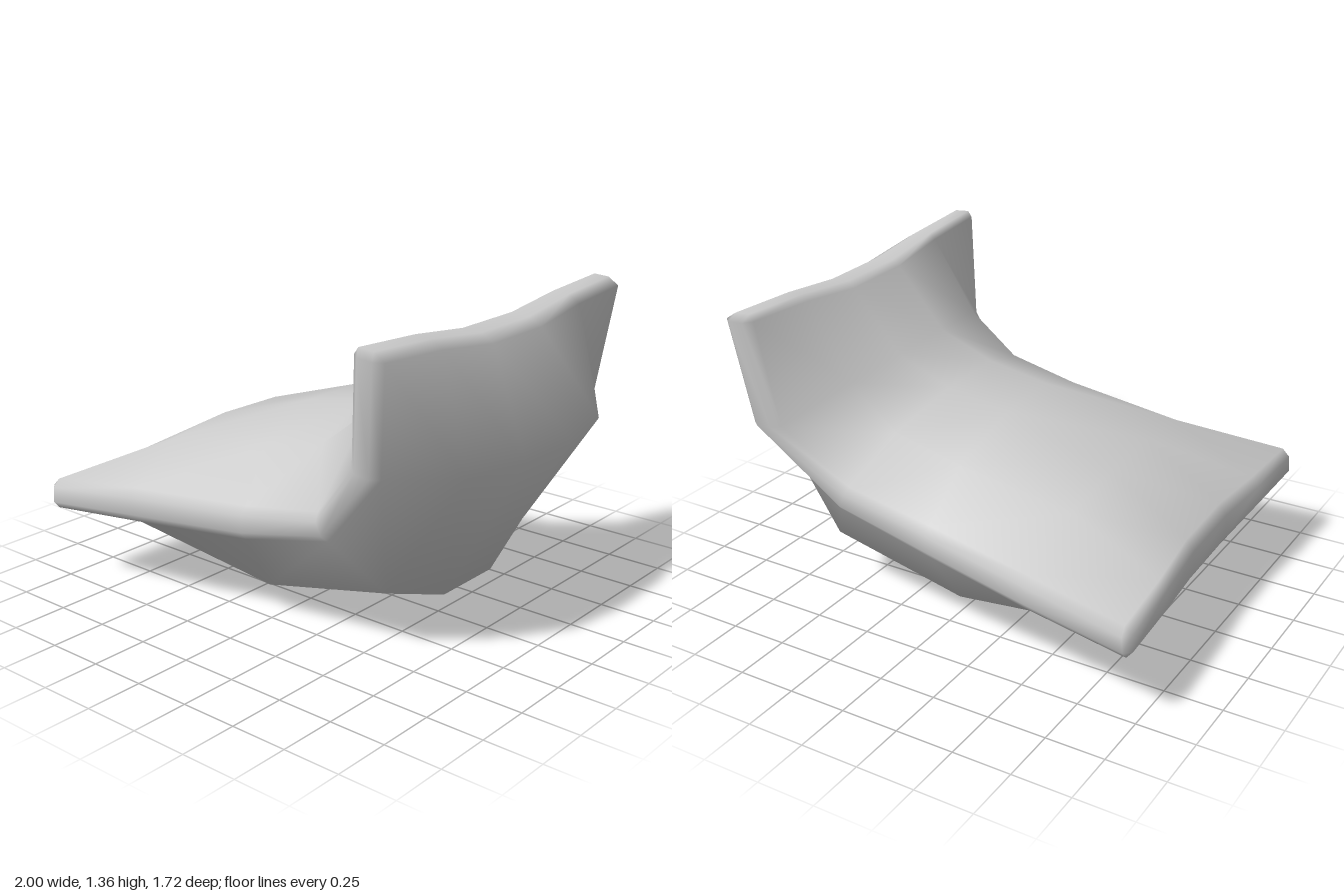
import * as THREE from 'three';

// Each shell has six stations along the bent cushion: rim and middle as [x, y],
// and how far the shoulder columns rise from rim to middle
const upperShell = {
  rim: [[-0.95, 0.47], [-0.53, 0.515], [0, 0.54], [0.38, 0.61], [0.63, 0.87], [0.685, 1.325]],
  middle: [[-0.91, 0.49], [-0.57, 0.705], [-0.08, 0.86], [0.2, 0.91], [0.45, 1.01], [0.67, 1.27]],
  shoulder: [0.4, 0.8, 0.63, 0.68, 0.85, 0.35],
};
const lowerShell = {
  rim: [[-0.96, 0.335], [-0.5, 0.37], [0, 0.395], [0.43, 0.5], [0.765, 0.86], [0.82, 1.315]],
  middle: [[-0.92, 0.295], [-0.55, 0.11], [-0.05, 0], [0.64, 0.17], [1, 0.82], [0.84, 1.26]],
  shoulder: [0.35, 0.73, 0.68, 0.71, 0.77, 0.35],
};
const halfWidth = [0.845, 0.788, 0.685, 0.685, 0.79, 0.845];
const N = 6;
const BEVEL = 0.03;

// Point on a shell: i runs along the stations, j across the width
function shellPoint({ rim, middle, shoulder }, i, j) {
  const k = Math.min(j, N - 1 - j);
  const side = j < N / 2 ? -1 : 1;
  const z = side * [halfWidth[i] - BEVEL, 0.48, 0.17][k];
  const w = [0, shoulder[i], 1][k];
  const x = THREE.MathUtils.lerp(rim[i][0], middle[i][0], w);
  const y = THREE.MathUtils.lerp(rim[i][1], middle[i][1], w);
  // Slight twist along the length
  return new THREE.Vector3(x, y + z * 0.016 * (1 - 0.7 * x), z);
}

function cushionGeometry() {
  const points = [];
  const index = [];
  const quad = (a, b, c, d) => index.push(a, b, c, a, c, d);

  // Upper and lower shells
  for (const shell of [upperShell, lowerShell]) {
    for (let i = 0; i < N; i++) {
      for (let j = 0; j < N; j++) points.push(shellPoint(shell, i, j));
    }
  }
  const lower = N * N;
  for (let i = 0; i < N - 1; i++) {
    for (let j = 0; j < N - 1; j++) {
      const a = i * N + j, b = a + N, c = b + 1, d = a + 1;
      quad(d, c, b, a);
      quad(lower + a, lower + b, lower + c, lower + d);
    }
  }

  // Rim path [i, j, outward direction]; corners come twice, giving a chamfer
  const back = new THREE.Vector3(0, 0, -BEVEL);
  const front = new THREE.Vector3(0, 0, BEVEL);
  const seatEnd = new THREE.Vector3(-BEVEL, 0, 0);
  const topEnd = new THREE.Vector3(-BEVEL / 2, BEVEL, 0);
  const last = N - 1;
  const loop = [];
  for (let s = 0; s < N; s++) loop.push([s, 0, back]);
  for (let s = 0; s < N; s++) loop.push([last, s, topEnd]);
  for (let s = last; s >= 0; s--) loop.push([s, last, front]);
  for (let s = last; s >= 0; s--) loop.push([0, s, seatEnd]);

  // Bevelled rim joining the shells all the way round
  const rings = loop.map(([i, j, out]) => {
    const top = i * N + j;
    const bottom = lower + top;
    const mids = [0.25, 0.75].map((t) =>
      points.push(points[top].clone().lerp(points[bottom], t).add(out)) - 1);
    return [top, ...mids, bottom];
  });
  rings.forEach((p, n) => {
    const q = rings[(n + 1) % rings.length];
    for (let r = 0; r < 3; r++) quad(p[r], q[r], q[r + 1], p[r + 1]);
  });

  const geometry = new THREE.BufferGeometry().setFromPoints(points);
  geometry.setIndex(index);
  geometry.rotateY(0.016);
  // Stand on the ground, centred
  geometry.computeBoundingBox();
  const box = geometry.boundingBox;
  geometry.translate(-(box.min.x + box.max.x) / 2, -box.min.y, -(box.min.z + box.max.z) / 2);
  geometry.computeVertexNormals();
  return geometry;
}

export function createModel() {
  const group = new THREE.Group();
  group.name = 'bentCushion';
  const cushion = new THREE.Mesh(
    cushionGeometry(),
    new THREE.MeshStandardMaterial({ color: 0xcccccc })
  );
  cushion.name = 'cushion';
  group.add(cushion);
  return group;
}
